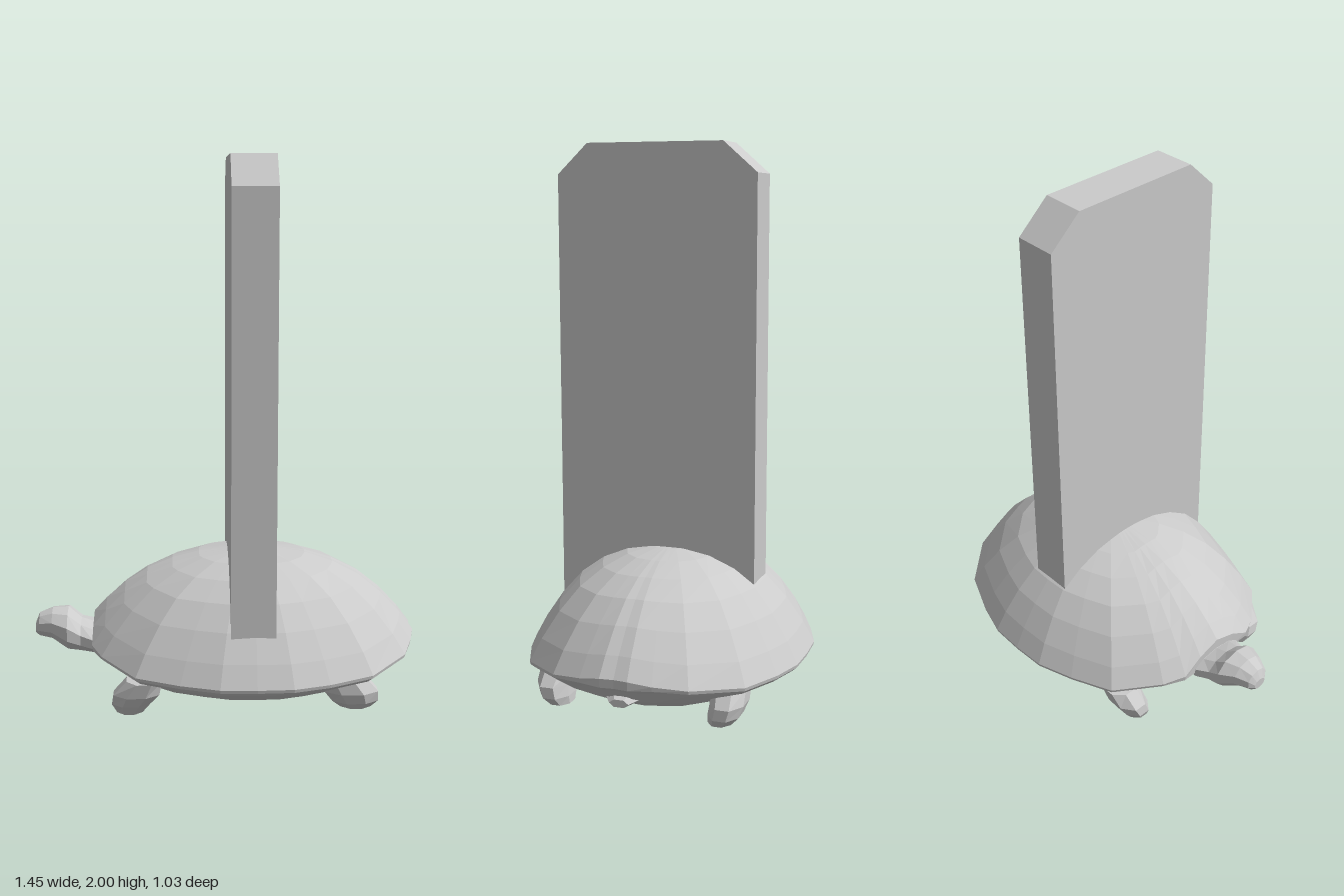
import * as THREE from 'three';

const material = new THREE.MeshStandardMaterial({ color: 0xcccccc, flatShading: true });

function addMesh(group, name, geometry) {
  const mesh = new THREE.Mesh(geometry, material);
  mesh.name = name;
  group.add(mesh);
  return mesh;
}

// Skin a list of closed rings, with a centre point closing each end
function loft(rings) {
  const n = rings[0].length;
  const points = rings.flat();
  const index = [];
  for (let r = 0; r < rings.length - 1; r++) {
    for (let i = 0; i < n; i++) {
      const a = r * n + i, b = r * n + (i + 1) % n;
      index.push(a, b, b + n, a, b + n, a + n);
    }
  }
  const centre = (ring) => ring.reduce((s, p) => s.add(p), new THREE.Vector3()).divideScalar(n);
  const start = points.push(centre(rings[0])) - 1;
  const end = points.push(centre(rings[rings.length - 1])) - 1;
  const last = (rings.length - 1) * n;
  for (let i = 0; i < n; i++) {
    const j = (i + 1) % n;
    index.push(start, j, i, end, last + i, last + j);
  }
  const geometry = new THREE.BufferGeometry().setFromPoints(points);
  geometry.setIndex(index);
  geometry.computeVertexNormals();
  return geometry;
}

// Faceted limb: stations are [x, y, z, radius along u, radius along v]
function limb(stations, u, v, sides = 8) {
  return loft(stations.map(([x, y, z, ru, rv]) =>
    Array.from({ length: sides }, (_, i) => {
      const a = ((i + 0.5) / sides) * Math.PI * 2;
      return new THREE.Vector3(x, y, z)
        .addScaledVector(u, ru * Math.cos(a))
        .addScaledVector(v, rv * Math.sin(a));
    })));
}

export function createModel() {
  const group = new THREE.Group();
  const X = new THREE.Vector3(1, 0, 0), Y = new THREE.Vector3(0, 1, 0), Z = new THREE.Vector3(0, 0, 1);

  // Half of the shell rim, from head to tail: [x, z, height]
  const half = [
    [-0.5, 0, 0.29], [-0.5, 0.09, 0.26], [-0.5, 0.17, 0.21], [-0.46, 0.25, 0.195],
    [-0.33, 0.4, 0.17], [-0.17, 0.465, 0.165], [-0.03, 0.51, 0.165], [0.1, 0.515, 0.165],
    [0.23, 0.51, 0.165], [0.36, 0.47, 0.165], [0.52, 0.4, 0.17], [0.66, 0.245, 0.19],
    [0.7, 0.13, 0.205], [0.72, 0.05, 0.22], [0.715, 0, 0.22],
  ];
  const rim = [...half, ...half.slice(1, -1).reverse().map(([x, z, y]) => [x, -z, y])];
  const cx = 0.1;
  const ring = (s, height) => rim.map(([x, z, y]) => new THREE.Vector3(cx + (x - cx) * s, height(y), z * s));

  // Belly rings from the centre outwards: [scale, height]
  const belly = [[0.25, 0.025], [0.5, 0.035], [0.68, 0.062], [0.84, 0.112]]
    .map(([s, h]) => ring(s, () => h));
  const lip = [
    ring(0.96, (y) => Math.min(y, 0.2) - 0.028),
    ring(0.995, (y) => Math.min(y, 0.2) - 0.012),
  ];
  // Dome rings from the rim up: [scale, share of the rise]
  const dome = [[1, 0], [0.92, 0.21], [0.8, 0.46], [0.66, 0.68], [0.5, 0.84], [0.33, 0.945], [0.15, 0.995]]
    .map(([s, h]) => ring(s, (y) => y + (0.538 - y) * h));
  addMesh(group, 'shell', loft([...belly, ...lip, ...dome]));

  // Neck and head, running forward to the snout
  addMesh(group, 'head', limb([
    [-0.4, 0.19, 0, 0.12, 0.06],
    [-0.5, 0.19, 0, 0.12, 0.055],
    [-0.55, 0.2, 0, 0.1, 0.062],
    [-0.6, 0.224, 0, 0.105, 0.082],
    [-0.66, 0.243, 0, 0.075, 0.06],
    [-0.71, 0.238, 0, 0.05, 0.046],
    [-0.725, 0.225, 0, 0.028, 0.022],
  ], Z, Y, 10));

  // Two pairs of stubby legs
  for (const side of [1, -1]) {
    const name = side > 0 ? 'Left' : 'Right';
    addMesh(group, 'leg' + name + 'Head', limb([
      [-0.3, 0.14, 0.33 * side, 0.07, 0.07],
      [-0.33, 0.085, 0.325 * side, 0.09, 0.065],
      [-0.35, 0.045, 0.31 * side, 0.075, 0.06],
      [-0.355, 0.005, 0.295 * side, 0.05, 0.045],
    ], X, Z));
    addMesh(group, 'leg' + name + 'Tail', limb([
      [0.42, 0.14, 0.32 * side, 0.09, 0.07],
      [0.45, 0.09, 0.325 * side, 0.105, 0.065],
      [0.465, 0.05, 0.315 * side, 0.09, 0.06],
      [0.47, 0.02, 0.3 * side, 0.06, 0.045],
    ], X, Z));
  }

  // Short tail
  addMesh(group, 'tail', limb([
    [0.52, 0.14, 0, 0.03, 0.07],
    [0.62, 0.13, 0, 0.027, 0.07],
    [0.67, 0.12, 0, 0.015, 0.035],
  ], Y, Z, 6));

  // Upright slab with clipped top corners, outlined as (-z, y)
  const outline = new THREE.Shape([
    [-0.42, 0.31], [0.33, 0.31], [0.33, 1.89], [0.205, 2], [-0.305, 2], [-0.42, 1.89],
  ].map(([x, y]) => new THREE.Vector2(x, y)));
  const slab = addMesh(group, 'slab', new THREE.ExtrudeGeometry(outline, { depth: 0.16, bevelEnabled: false }));
  slab.rotation.y = Math.PI / 2;
  slab.position.x = 0.01;

  return group;
}
